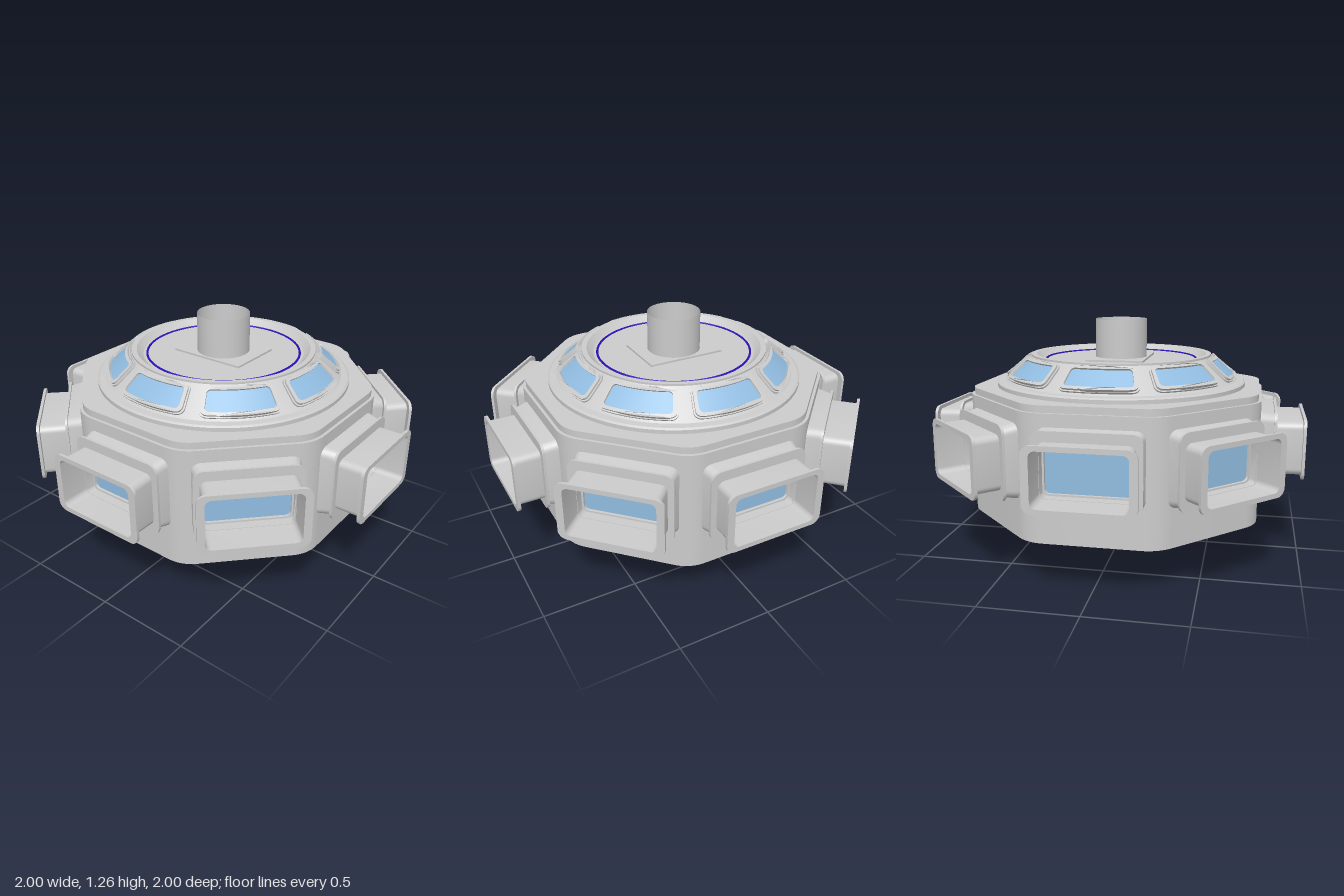
import * as THREE from 'three';
import { toCreasedNormals } from 'three/addons/utils/BufferGeometryUtils.js';

const grey = new THREE.MeshStandardMaterial({ color: 0xcccccc });
const thinGrey = new THREE.MeshStandardMaterial({ color: 0xcccccc, side: THREE.DoubleSide });
const glass = new THREE.MeshStandardMaterial({ color: 0x91bce0, side: THREE.DoubleSide });
const blue = new THREE.MeshStandardMaterial({ color: 0x2a10c0 });

function add(parent, name, geometry, material = grey) {
  const mesh = new THREE.Mesh(geometry, material);
  mesh.name = name;
  parent.add(mesh);
  return mesh;
}

// Rounded rectangle outline; n splits the horizontal edges so they can be bent
function rectPoints(hw, hh, r, n = 1) {
  const pts = [];
  const corners = [[1, 1], [-1, 1], [-1, -1], [1, -1]];
  corners.forEach(([sx, sy], c) => {
    const cx = sx * (hw - r), cy = sy * (hh - r);
    for (let i = 0; i <= 6; i++) {
      const a = (c + i / 6) * Math.PI / 2;
      pts.push(new THREE.Vector2(cx + r * Math.cos(a), cy + r * Math.sin(a)));
    }
    if (c % 2 === 0) {
      for (let i = 1; i < n; i++) {
        pts.push(new THREE.Vector2(cx * (1 - 2 * i / n), sy * hh));
      }
    }
  });
  return pts;
}

// Octagon with flats facing the axes and softened corners
function octagon(apothem, r) {
  const shape = new THREE.Shape();
  const R = apothem / Math.cos(Math.PI / 8);
  const corner = (k) => {
    const a = (k + 0.5) * Math.PI / 4;
    return new THREE.Vector2(R * Math.cos(a), R * Math.sin(a));
  };
  for (let k = 0; k < 8; k++) {
    const p = corner(k);
    const a = p.clone().lerp(corner(k - 1), r), b = p.clone().lerp(corner(k + 1), r);
    if (k === 0) shape.moveTo(a.x, a.y); else shape.lineTo(a.x, a.y);
    shape.quadraticCurveTo(p.x, p.y, b.x, b.y);
  }
  shape.closePath();
  return shape;
}

function extrude(shape, depth) {
  return new THREE.ExtrudeGeometry(shape, { depth, bevelEnabled: false, curveSegments: 24 });
}

// Horizontal plate from y0 to y1 with the central pipe hole
function slab(shape, y0, y1) {
  shape.holes.push(new THREE.Path().absarc(0, 0, 0.141, 0, Math.PI * 2, true));
  const g = extrude(shape, y1 - y0).rotateX(-Math.PI / 2).translate(0, y0, 0);
  return toCreasedNormals(g, 0.35);
}

// Rounded rectangular ring facing +z
function ring(outer, inner, z0, z1) {
  const shape = new THREE.Shape(rectPoints(...outer));
  shape.holes.push(new THREE.Path(rectPoints(...inner)));
  return extrude(shape, z1 - z0).translate(0, 0, z0);
}

// Wrap a flat (across, up, out) geometry onto the sloping roof cone
const slopeLow = new THREE.Vector2(0.635, 0.945), slopeHigh = new THREE.Vector2(0.485, 1.07);
function wrapOnRoof(g) {
  const dir = slopeHigh.clone().sub(slopeLow).normalize();
  const mid = slopeLow.clone().lerp(slopeHigh, 0.5);
  const p = g.attributes.position;
  for (let i = 0; i < p.count; i++) {
    const a = p.getX(i) / mid.x, v = p.getY(i), w = p.getZ(i);
    const r = mid.x + dir.x * v + dir.y * w;
    p.setXYZ(i, r * Math.sin(a), mid.y + dir.y * v - dir.x * w, r * Math.cos(a));
  }
  g.computeVertexNormals();
  return g;
}

export function createModel() {
  const model = new THREE.Group();
  model.name = 'octagonalModule';

  // Octagonal hull and its stepped top
  add(model, 'hull', slab(octagon(0.77, 0.13), 0.24, 0.88));
  add(model, 'hullTopStep', slab(octagon(0.755, 0.13), 0.88, 0.915));

  // Conical roof with raised rim and sunken deck
  const profile = [
    [0.68, 0.9], [0.68, 0.935], [0.67, 0.942], [0.635, 0.945], [0.485, 1.07],
    [0.492, 1.07], [0.492, 1.08], [0.465, 1.08], [0.45, 1.065], [0.43, 1.05], [0.141, 1.05],
  ].map(([x, y]) => new THREE.Vector2(x, y));
  add(model, 'roof', toCreasedNormals(new THREE.LatheGeometry(profile, 96), 0.4));
  const trim = add(model, 'deckTrimRing', new THREE.TorusGeometry(0.41, 0.006, 8, 96), blue);
  trim.rotation.x = Math.PI / 2;
  trim.position.y = 1.051;

  // Open central pipe and its mounting plates
  const pipe = new THREE.CylinderGeometry(0.14, 0.14, 1.265, 48, 1, true).translate(0, 0.6325, 0);
  add(model, 'centralPipe', pipe, thinGrey);
  const plate = () => new THREE.Shape(rectPoints(0.153, 0.21, 0.002));
  add(model, 'upperPlate', slab(plate(), 1.045, 1.06));
  add(model, 'lowerPlate', slab(plate(), 0.228, 0.245));

  // Hood base, tapering outwards from the hull
  const base = ring([0.262, 0.19, 0.045], [0.222, 0.131, 0.03], 0.76, 0.845);
  const bp = base.attributes.position;
  for (let i = 0; i < bp.count; i++) {
    if (bp.getZ(i) > 0.8 && Math.max(Math.abs(bp.getX(i)) / 0.222, Math.abs(bp.getY(i)) / 0.131) > 1.01) {
      bp.setX(i, bp.getX(i) * 0.92);
      bp.setY(i, bp.getY(i) * 0.92);
    }
  }
  const hoodParts = [
    ['hoodBase', base],
    ['hoodInnerFlange', ring([0.262, 0.19, 0.05], [0.222, 0.131, 0.03], 0.84, 0.853)],
    ['hoodTunnel', ring([0.23, 0.139, 0.035], [0.224, 0.133, 0.03], 0.85, 0.99)],
    ['hoodOuterFlange', ring([0.262, 0.158, 0.045], [0.224, 0.133, 0.03], 0.985, 1)],
    ['windowFrame', ring([0.225, 0.135, 0.03], [0.212, 0.122, 0.025], 0.765, 0.805)],
  ].map(([name, g]) => [name, toCreasedNormals(g, 0.5)]);
  const paneGeometry = new THREE.PlaneGeometry(0.44, 0.26).translate(0, 0, 0.79);

  // Roof window: raised frame, thin outer skirt and curved pane
  const roofRing = (hw, hh, r, width, height) => {
    const shape = new THREE.Shape(rectPoints(hw, hh, r, 16));
    shape.holes.push(new THREE.Path(rectPoints(hw - width, hh - width, r - width * 0.5, 16)));
    return toCreasedNormals(wrapOnRoof(extrude(shape, height + 0.01).translate(0, 0, -0.01)), 0.5);
  };
  const roofFrame = roofRing(0.18, 0.076, 0.03, 0.018, 0.02);
  const roofSkirt = roofRing(0.188, 0.084, 0.036, 0.02, 0.009);
  const roofPane = wrapOnRoof(new THREE.PlaneGeometry(0.34, 0.132, 16, 1).translate(0, 0, 0.01));

  // One hooded window and one roof window for each of the eight sides
  for (let k = 0; k < 8; k++) {
    const side = new THREE.Group();
    side.name = 'side' + (k + 1);
    side.rotation.y = k * Math.PI / 4;

    const hood = new THREE.Group();
    hood.name = 'windowHood';
    hood.position.y = 0.627;
    hoodParts.forEach(([name, g]) => add(hood, name, g));
    add(hood, 'windowPane', paneGeometry, glass);
    side.add(hood);

    add(side, 'roofWindowFrame', roofFrame);
    add(side, 'roofWindowSkirt', roofSkirt);
    add(side, 'roofWindowPane', roofPane, glass);
    model.add(side);
  }
  return model;
}
